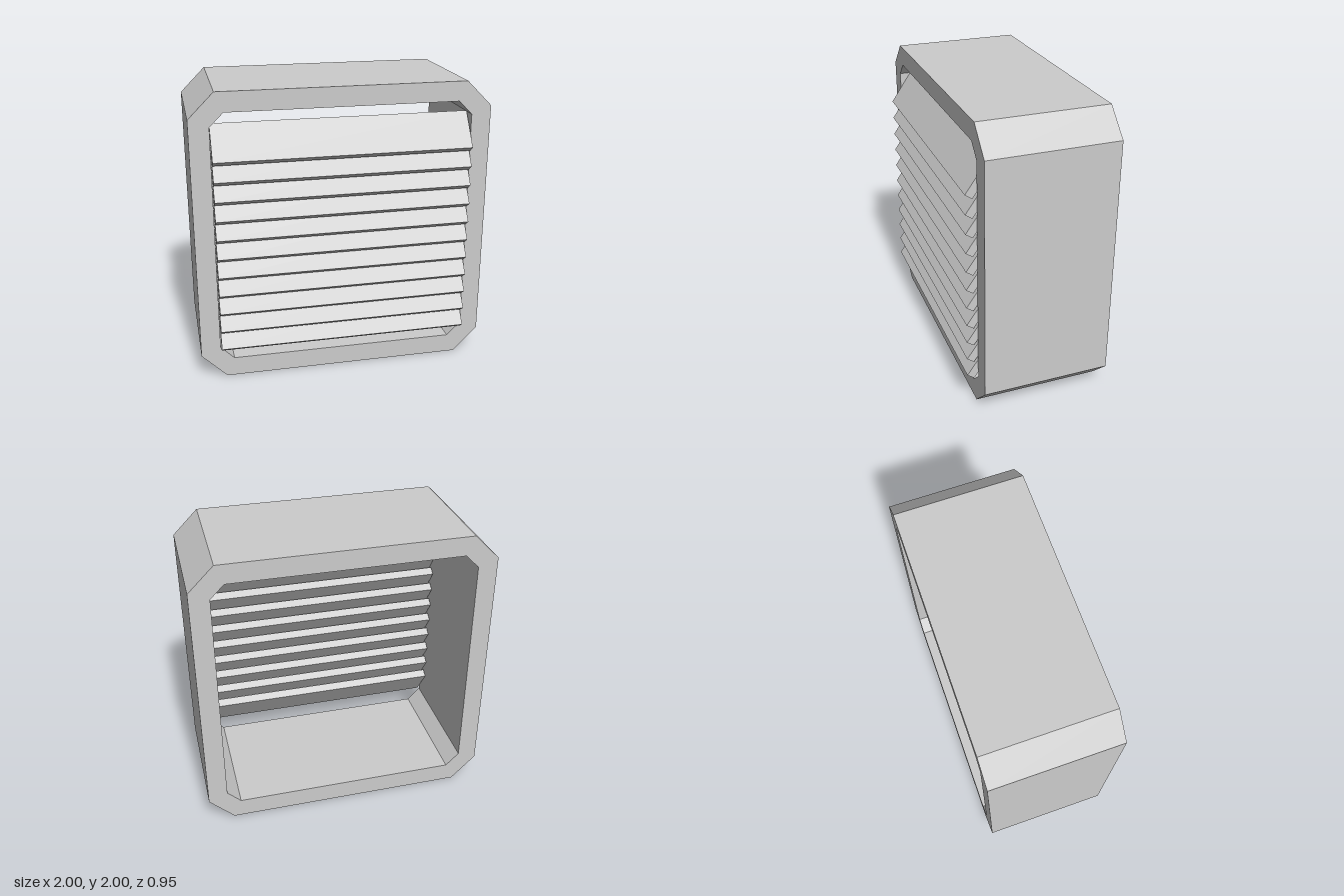
import * as THREE from 'three';

const material = new THREE.MeshStandardMaterial({ color: 0xcccccc, flatShading: true });

// Corner points of a square outline with chamfered corners, centred on (0, 1)
function chamferedSquare(half, cut) {
  const c = half - cut;
  return [[c, -half], [half, -c], [half, c], [c, half], [-c, half], [-half, c], [-half, -c], [-c, -half]]
    .map(([x, y]) => new THREE.Vector2(x, y + 1));
}

export function createModel() {
  const model = new THREE.Group();
  model.name = 'louvreVent';

  // Deep housing, open at front and back
  const outline = new THREE.Shape(chamferedSquare(1, 0.171));
  outline.holes.push(new THREE.Path(chamferedSquare(0.867, 0.092)));
  const housing = new THREE.Mesh(
    new THREE.ExtrudeGeometry(outline, { depth: 0.873, bevelEnabled: false }), material);
  housing.name = 'housing';
  housing.position.z = -0.473;
  model.add(housing);

  // Slats, each hung from its outer lower edge and leaning back at the top
  const length = 0.267, thickness = 0.057, tilt = THREE.MathUtils.degToRad(35);
  const slatGeometry = new THREE.BoxGeometry(1.722, length, thickness);
  slatGeometry.translate(0, length / 2, -thickness / 2);
  slatGeometry.rotateX(-tilt);
  const louvres = new THREE.Group();
  louvres.name = 'louvres';
  for (let i = 0; i < 11; i++) {
    const slat = new THREE.Mesh(slatGeometry, material);
    slat.name = `slat${i + 1}`;
    slat.position.set(-0.001, 0.246 + i * 0.1319, 0.473);
    louvres.add(slat);
  }
  model.add(louvres);

  return model;
}
